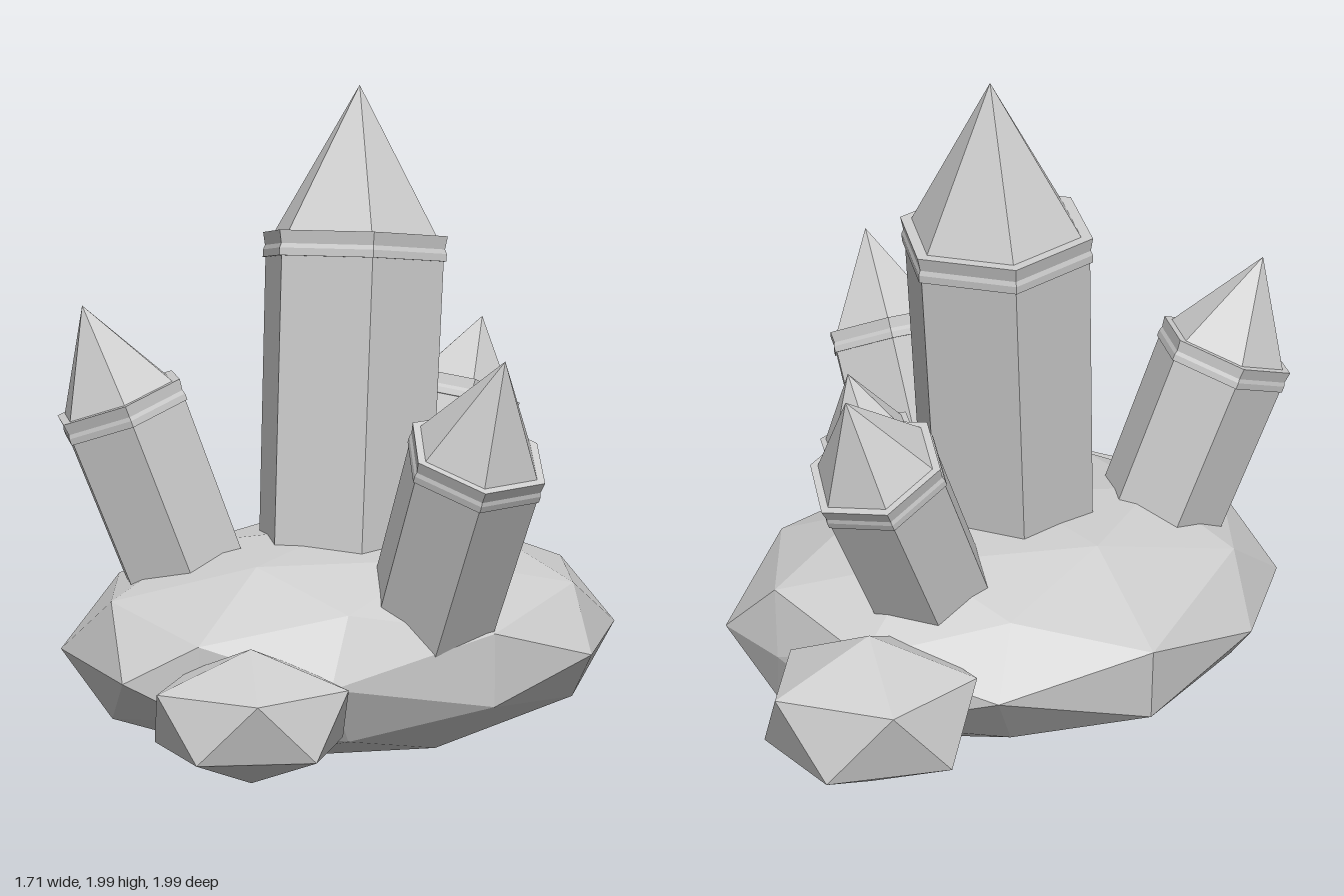
import * as THREE from 'three';

const stone = new THREE.MeshStandardMaterial({ color: 0xcccccc, flatShading: true });
stone.name = 'pale grey stone';

function facet(geometry) {
  const g = geometry.index ? geometry.toNonIndexed() : geometry;
  g.computeVertexNormals();
  return g;
}

function addMesh(parent, name, geometry) {
  const mesh = new THREE.Mesh(facet(geometry), stone);
  mesh.name = name;
  parent.add(mesh);
  return mesh;
}

// Six-sided crystal: slightly flared shaft, bevelled collar with a flat rim, pointed tip.
function addCrystal(parent, { name, foot, collar, tip, radius: r, lip, spin }) {
  const a = new THREE.Vector3(...foot);
  const b = new THREE.Vector3(...collar);
  const c = new THREE.Vector3(...tip);
  const axis = c.clone().sub(a).normalize();
  const sunk = 0.14;
  const length = a.distanceTo(c) + sunk;
  const rim = length - b.distanceTo(c);

  const crystal = new THREE.Group();
  crystal.name = name;
  crystal.position.copy(a).addScaledVector(axis, -sunk);
  crystal.quaternion.setFromUnitVectors(new THREE.Vector3(0, 1, 0), axis);
  parent.add(crystal);

  const lathe = (points) => new THREE.LatheGeometry(
    points.map(([x, y]) => new THREE.Vector2(x, y)), 6, spin);
  const base = rim - lip;
  addMesh(crystal, 'shaft', lathe([[r * 0.925, 0], [r * 0.965, base]]));
  addMesh(crystal, 'collar', lathe([
    [r * 0.965, base], [r * 0.995, base],
    [r * 0.995, base + lip * 0.3],
    [r * 0.975, base + lip * 0.48],
    [r, rim], [r * 0.88, rim],
  ]));
  addMesh(crystal, 'tip', lathe([[r * 0.88, rim], [0, length]]));
}

// Broad squashed boulder, stretched along one diagonal, flattened on top,
// with some corners pushed: direction x, y, z, then shift in x and z.
function boulderGeometry() {
  const g = new THREE.IcosahedronGeometry(1, 1);
  const shifts = [
    [-0.851, 0, 0.526, 0.07, 0.13],
    [-0.851, 0, -0.526, 0, -0.05],
    [-0.5, 0.309, -0.809, 0.03, -0.15],
    [-0.5, -0.309, -0.809, 0.03, -0.13],
    [0.851, 0, -0.526, -0.05, 0.08],
    [0.851, 0, 0.526, 0, 0.04],
    [1, 0, 0, 0, -0.05],
    [0, 0, 1, -0.05, 0],
    [0, 0, -1, 0.04, -0.03],
  ];
  const p = g.attributes.position;
  const v = new THREE.Vector3();
  for (let i = 0; i < p.count; i++) {
    v.fromBufferAttribute(p, i);
    const [, , , dx, dz] = shifts.find(
      ([x, y, z]) => v.x * x + v.y * y + v.z * z > 0.97) ?? [0, 0, 0, 0, 0];
    const lift = v.y > 0 ? 0.36 : 0.335;
    p.setXYZ(i,
      0.855 * v.x - 0.06 * v.z + dx,
      Math.min(0.338 + lift * v.y, 0.675),
      0.71 * v.z - 0.09 * v.x - 0.03 + dz);
  }
  return g;
}

// Small twenty-sided rock standing on a point.
function rockGeometry(turn, size) {
  return new THREE.IcosahedronGeometry(1, 0)
    .rotateZ(-0.5536).rotateY(turn).scale(...size);
}

export function createModel() {
  const model = new THREE.Group();
  model.name = 'crystalCluster';

  addMesh(model, 'boulder', boulderGeometry());
  addMesh(model, 'frontRock', rockGeometry(-Math.PI / 2, [0.31, 0.19, 0.285]))
    .position.set(-0.34, 0.285, 0.745);
  addMesh(model, 'backRock', rockGeometry(0.47, [0.34, 0.23, 0.305]))
    .position.set(0.46, 0.32, -0.72);

  const crystals = [
    { name: 'mainCrystal', foot: [0, 0.65, -0.035], collar: [0.043, 1.545, -0.14],
      tip: [0.062, 1.99, -0.185], radius: 0.293, lip: 0.075, spin: 0.09 },
    { name: 'rightCrystal', foot: [-0.495, 0.6, 0.045], collar: [-0.683, 1.085, 0.055],
      tip: [-0.78, 1.36, 0.06], radius: 0.21, lip: 0.065, spin: 0.07 },
    { name: 'frontCrystal', foot: [0.22, 0.55, 0.42], collar: [0.312, 0.99, 0.625],
      tip: [0.365, 1.265, 0.74], radius: 0.21, lip: 0.065, spin: 0 },
    { name: 'backCrystal', foot: [0.28, 0.59, -0.43], collar: [0.43, 1.005, -0.58],
      tip: [0.51, 1.235, -0.67], radius: 0.203, lip: 0.065, spin: 0.05 },
    { name: 'smallCrystal', foot: [0.35, 0.64, -0.115], collar: [0.42, 0.915, -0.122],
      tip: [0.475, 1.115, -0.142], radius: 0.153, lip: 0.06, spin: 0.08 },
  ];
  crystals.forEach((crystal) => addCrystal(model, crystal));

  return model;
}
